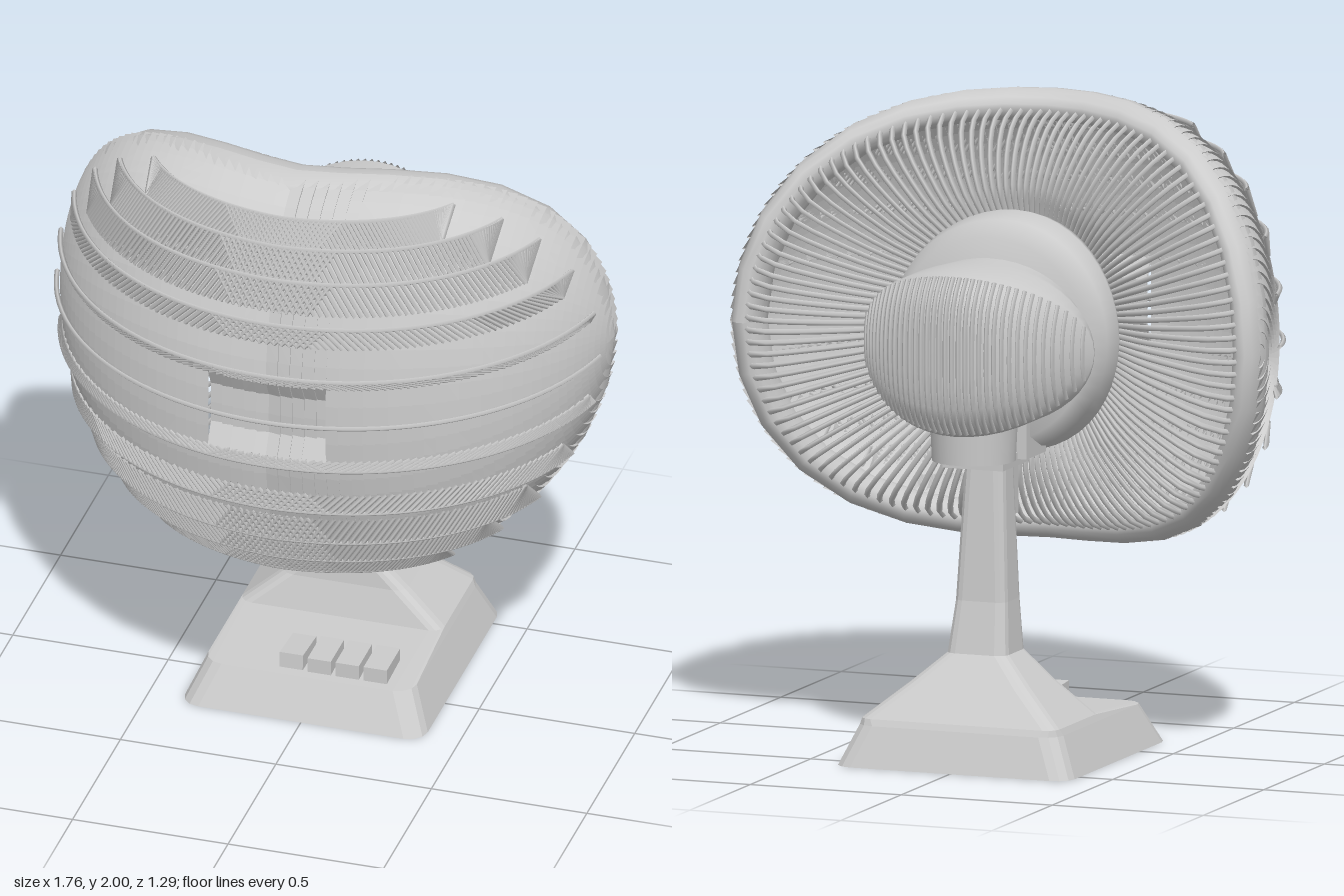
import * as THREE from 'three';
import { mergeGeometries } from 'three/addons/utils/BufferGeometryUtils.js';

const CY = 1.3;            // height of the fan axis
const A = 0.87, B = 0.69;  // half width and half height of the cage

const smooth = new THREE.MeshStandardMaterial({ color: 0xcccccc, side: THREE.DoubleSide });
const flat = new THREE.MeshStandardMaterial({ color: 0xcccccc, side: THREE.DoubleSide, flatShading: true });
const V = (x, y, z) => new THREE.Vector3(x, y, z);

// Surface over a unit grid: f(u, v) returns a point
function grid(nu, nv, f) {
  const pos = [], idx = [];
  for (let i = 0; i <= nu; i++)
    for (let j = 0; j <= nv; j++) {
      pos.push(...f(i / nu, j / nv).toArray());
      if (i < nu && j < nv) {
        const a = i * (nv + 1) + j, b = a + nv + 1;
        idx.push(a, b, a + 1, b, b + 1, a + 1);
      }
    }
  const g = new THREE.BufferGeometry();
  g.setAttribute('position', new THREE.Float32BufferAttribute(pos, 3));
  g.setIndex(idx);
  g.computeVertexNormals();
  return g;
}

// Thin wire through a list of points
function wire(points, r, segs = points.length * 2) {
  return new THREE.TubeGeometry(new THREE.CatmullRomCurve3(points), segs, r, 4);
}

// The whole cage is bent backwards towards its sides
const bend = x => -0.5 * Math.pow(Math.abs(x) / 0.88, 1.6);

// Size of the cage outline |x/a|^3 + (y/b)^2 = 1 that passes through a point
function outlineScale(x, y, a, b) {
  const X3 = Math.abs(x / a) ** 3, Y2 = (y / b) ** 2;
  let r = 1;
  for (let i = 0; i < 12; i++) r = Math.max(0.001, Math.sqrt(Y2 + X3 / r));
  return r;
}
// Outline point in a given direction
function outline(angle, a, b) {
  const c = Math.cos(angle), s = Math.sin(angle), k = 1 / outlineScale(c, s, a, b);
  return [c * k, s * k];
}
// Point on the front dome, y measured from the fan axis
function dome(x, y, lift = 0) {
  const rho = Math.min(1, outlineScale(x, y, A, B));
  const zr = 0.27 + bend(x / rho);
  const z = zr + (0.615 - zr) * Math.sqrt(1 - rho * rho);
  const k = 1 + lift;
  return V(x * k, CY + y * k, z * k + 0.1 * lift);
}

// Closed loft through rounded rectangles [y, half width, z front, z back, corner]
function loft(sections) {
  const ring = ([y, hx, zf, zb, r]) => {
    const pts = [], hz = (zf - zb) / 2, cz = (zf + zb) / 2;
    for (let q = 0; q < 4; q++)
      for (let k = 0; k < 4; k++) {
        const t = (q + k / 3) * Math.PI / 2;
        const sx = q === 0 || q === 3 ? 1 : -1, sz = q < 2 ? 1 : -1;
        pts.push(V(sx * (hx - r) + r * Math.cos(t), y, cz + sz * (hz - r) + r * Math.sin(t)));
      }
    return [...pts, pts[0]];
  };
  const rings = sections.map(ring);
  const cap = r => r.map(p => V(0, p.y, (r[0].z + r[8].z) / 2));
  const all = [cap(rings[0]), ...rings, cap(rings[rings.length - 1])];
  return grid(all.length - 1, 16, (u, v) => all[Math.round(u * (all.length - 1))][Math.round(v * 16)]);
}

export function createModel() {
  const model = new THREE.Group();
  const add = (name, geo, mat = smooth) => {
    const m = new THREE.Mesh(geo, mat);
    m.name = name;
    model.add(m);
    return m;
  };
  const box = (name, w, h, d, x, y, z) => {
    const m = add(name, new THREE.BoxGeometry(w, h, d), flat);
    m.position.set(x, y, z);
    return m;
  };

  // Base flowing into the neck
  add('baseAndNeck', loft([
    [0, 0.39, 0.24, -0.6, 0.06], [0.125, 0.335, 0.175, -0.555, 0.06],
    [0.145, 0.325, -0.17, -0.545, 0.04], [0.25, 0.2, -0.2, -0.465, 0.04],
    [0.34, 0.1, -0.21, -0.395, 0.035], [0.5, 0.085, -0.21, -0.36, 0.03],
    [0.94, 0.065, -0.215, -0.33, 0.03],
  ]), flat);

  // Speed keys, the first one pressed
  for (let i = 0; i < 4; i++) {
    const key = box('speedKey', 0.075, 0.05, 0.14, -0.06 + i * 0.09, 0.15, 0.075);
    if (i === 0) key.rotation.x = -0.08;
  }

  // Front grille of upright stepped slats with a recessed centre
  const cols = 72, slats = [];
  for (let i = 0; i < cols; i++) {
    const edge = k => A * Math.sin((k / cols - 0.5) * Math.PI);
    const inner = edge(i < cols / 2 ? i + 1 : i), outer = edge(i < cols / 2 ? i : i + 1);
    slats.push(grid(2, 32, (u, v) => {
      const x = u ? outer : inner;
      const y = -B * Math.sqrt(Math.max(0, 1 - Math.abs(x / A) ** 3)) * Math.cos(v * Math.PI);
      const p = dome(x, y, u === 0.5 ? 0.01 : 0);
      if (Math.abs(inner + outer) < 0.38 && Math.abs(y) < 0.13) p.z -= 0.04;
      return p;
    }));
  }
  add('frontGrille', mergeGeometries(slats), flat);

  // Level ridges: a long wire with a herringbone of rods crossing at the centre
  const ridges = [];
  const levels = [[0, 0], [0.155, 0.025], [0.32, 0.06], [0.45, 0.09], [0.54, 0.09], [0.61, 0.07]];
  for (const [dy, h] of levels)
    for (const s of dy ? [1, -1] : [1]) {
      const reach = A * Math.cbrt(0.94 - (dy / B) ** 2);
      const path = [];
      for (let i = 0; i <= 32; i++) path.push(dome(reach * Math.sin((i / 32 - 0.5) * Math.PI), s * dy, 0.024));
      ridges.push(wire(path, 0.008, 48));
      for (const side of [1, -1])
        for (let i = 0; i <= 64 && dy; i++) {
          const x = -0.18 + (reach + 0.18) * Math.sin(i / 64 * Math.PI / 2);
          const x2 = Math.min(reach, x + 0.065);
          ridges.push(wire([dome(side * x, s * dy, 0.026), dome(side * x2, s * (dy - h), 0.008)], 0.007, 1));
        }
    }
  add('grilleRidges', mergeGeometries(ridges));

  // Bent rim
  add('rim', grid(32, 14, (u, v) => {
    const [x, y] = outline(u * 2 * Math.PI, 0.83, 0.65);
    const t = v * 2 * Math.PI;
    const n = V(3 * x * Math.abs(x) / 0.83 ** 3, 2 * y / 0.65 ** 2, 0).normalize().multiplyScalar(0.05 * Math.cos(t));
    return V(x + n.x, CY + y + n.y, 0.275 + bend(x) + 0.085 * Math.sin(t));
  }));

  // Rear grille spokes from the rim to the hub
  const spokes = [];
  const depths = [[0, -0.04], [0.1, -0.14], [0.25, -0.2], [0.5, -0.25], [0.75, -0.27], [1, -0.25]];
  for (let i = 0; i < 132; i++) {
    const a = (i + 0.5) / 132 * 2 * Math.PI;
    const [ox, oy] = outline(a, 0.83, 0.65);
    spokes.push(wire(depths.map(([t, d]) => {
      const x = ox + (0.35 * Math.cos(a) - ox) * t, y = oy + (0.35 * Math.sin(a) - oy) * t;
      return V(x, CY + y, 0.27 + bend(x) + d);
    }), 0.009, 9));
  }
  add('rearGrilleSpokes', mergeGeometries(spokes));

  // Hub drum: bent front face, level back face
  const drum = [[0, 0.02], [0.3, 0.02], [0.36, 0], [0.375, -0.06], [0.36, -0.16], [0.32, -0.26], [0, -0.26]];
  add('hub', grid(6, 48, (u, v) => {
    const [r, z] = drum[Math.round(u * 6)], t = v * 2 * Math.PI;
    const x = r * Math.cos(t);
    return V(x, CY + r * Math.sin(t), z + bend(x) * (z + 0.26) * 3);
  }));

  // Motor housing with a rear cap curving round to the sides
  const capZ = (x, rho) => -0.635 + 0.2 * (x / 0.38) ** 2 + 0.08 * rho ** 4;
  add('motorHousing', grid(15, 48, (u, v) => {
    const t = v * 2 * Math.PI, c = Math.cos(t), s = Math.sin(t), i = Math.round(u * 15);
    if (i < 2) return V(0.38 * (i ? 0.93 : 0.84) * c, CY + 0.255 * s, i ? -0.31 : -0.25);
    const rho = Math.min(1, (15 - i) / 12);
    const x = 0.38 * rho * c;
    return V(x, CY + 0.255 * rho * s, i === 2 ? -0.35 : capZ(x, rho));
  }));

  // Upright ribs on the rear cap
  const ribs = [];
  for (let i = -17; i <= 17; i++) {
    const x = i * 0.021, h = 0.245 * Math.sqrt(1 - (x / 0.38) ** 2), pts = [];
    for (let j = -4; j <= 4; j++) {
      const y = h * j / 4;
      pts.push(V(x, CY + y, capZ(x, Math.hypot(x / 0.38, y / 0.255)) - 0.002));
    }
    ribs.push(wire(pts, 0.008, 10));
  }
  add('rearCapRibs', mergeGeometries(ribs));

  // Tilt mount under the motor
  const mount = add('tiltMount', new THREE.CylinderGeometry(0.14, 0.13, 0.2, 24));
  mount.position.set(0, 1.05, -0.4);
  box('mountPlate', 0.2, 0.04, 0.22, 0, 0.94, -0.3);
  box('mountBlock', 0.26, 0.18, 0.16, 0, 1.03, -0.21);
  box('tiltClamp', 0.08, 0.17, 0.08, 0, 0.83, -0.17);

  return model;
}
